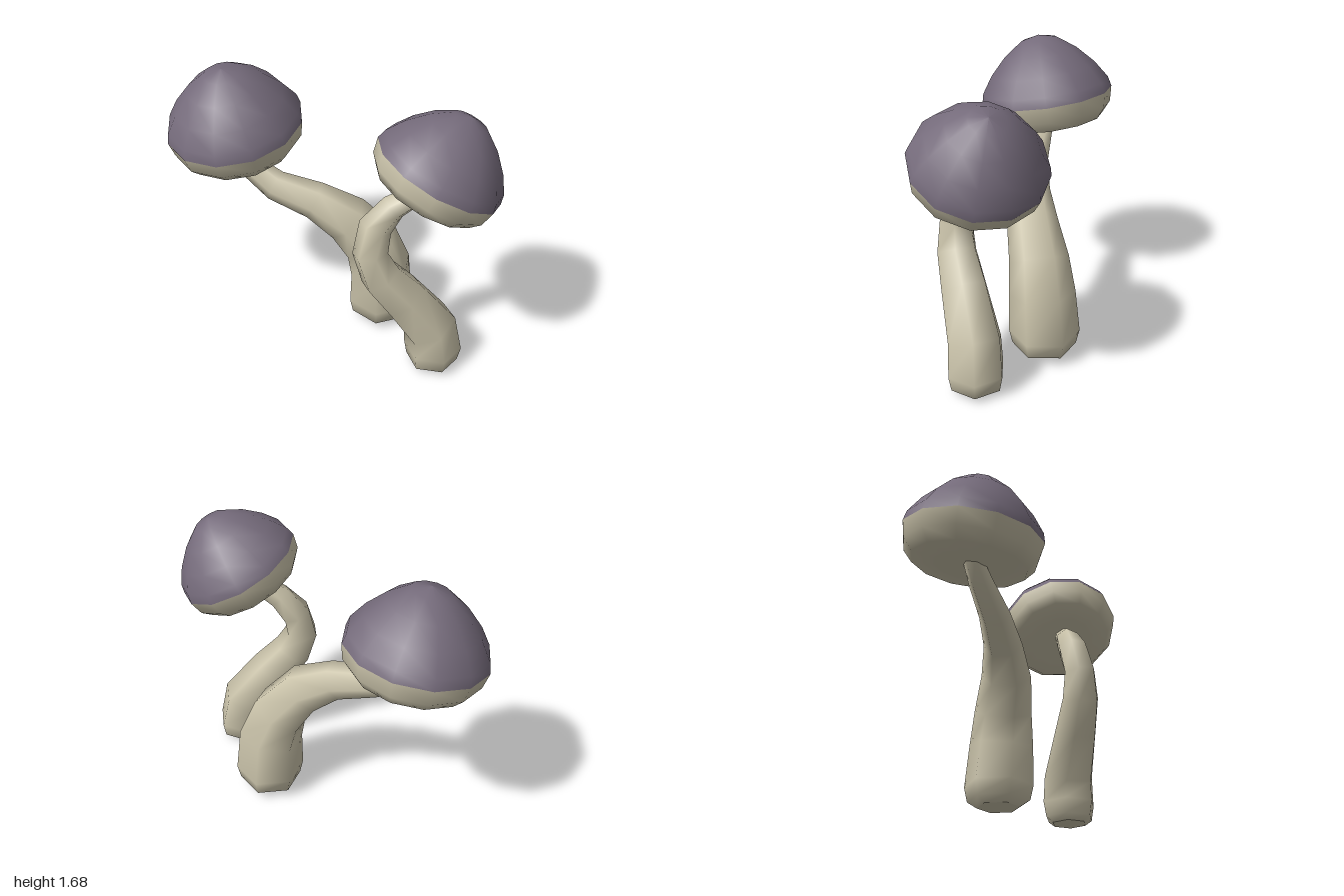
import * as THREE from 'three';

const capPurple = new THREE.MeshStandardMaterial({ color: 0x756b7b });
capPurple.name = 'capPurple';
const stemCream = new THREE.MeshStandardMaterial({ color: 0xcbc4ab });
stemCream.name = 'stemCream';

const SIDES = 6;

// Six-sided smooth stem through rings of [x, y, z, radius], closed at both ends
function stemGeometry(rings, phase) {
  const centres = rings.map(([x, y, z]) => new THREE.Vector3(x, y, z));
  const pos = [], idx = [];
  rings.forEach(([, , , r], i) => {
    const t = centres[Math.min(i + 1, rings.length - 1)].clone()
      .sub(centres[Math.max(i - 1, 0)]).normalize();
    if (i < 3) t.set(0, 1, 0); // upright foot
    const u = new THREE.Vector3(0, 0, 1).addScaledVector(t, -t.z).normalize();
    const v = new THREE.Vector3().crossVectors(t, u);
    for (let k = 0; k < SIDES; k++) {
      const a = phase + (k / SIDES) * Math.PI * 2;
      const p = centres[i].clone().addScaledVector(u, r * Math.cos(a)).addScaledVector(v, r * Math.sin(a));
      pos.push(p.x, p.y, p.z);
    }
  });
  for (let i = 0; i < rings.length - 1; i++) {
    for (let k = 0; k < SIDES; k++) {
      const a = i * SIDES + k, b = i * SIDES + (k + 1) % SIDES;
      idx.push(a, b, b + SIDES, a, b + SIDES, a + SIDES);
    }
  }
  // flat end faces with their own vertices
  for (const [ring, down] of [[0, true], [rings.length - 1, false]]) {
    const start = pos.length / 3;
    pos.push(...pos.slice(ring * SIDES * 3, (ring + 1) * SIDES * 3));
    for (let k = 1; k < SIDES - 1; k++) {
      if (down) idx.push(start, start + k + 1, start + k);
      else idx.push(start, start + k, start + k + 1);
    }
  }
  const g = new THREE.BufferGeometry();
  g.setAttribute('position', new THREE.Float32BufferAttribute(pos, 3));
  g.setIndex(idx);
  g.computeVertexNormals();
  return g;
}

// Cap profiles: origin at the centre of the colour line
const underside = [[0, -0.165], [0.2, -0.168], [0.335, -0.16], [0.39, -0.095], [0.41, 0]];
const crown = [[0.41, 0], [0.395, 0.06], [0.325, 0.165], [0.225, 0.27], [0.11, 0.352], [0, 0.378]];
const lathe = (pts) => new THREE.LatheGeometry(pts.map(([r, y]) => new THREE.Vector2(r, y)), 12);

function addMesh(parent, name, geometry, material) {
  const m = new THREE.Mesh(geometry, material);
  m.name = name;
  parent.add(m);
}

function mushroom(name, { rings, phase, centre, up, size }) {
  const g = new THREE.Group();
  g.name = name;
  addMesh(g, 'stem', stemGeometry(rings, phase), stemCream);

  const cap = new THREE.Group();
  cap.name = 'cap';
  addMesh(cap, 'capUnderside', lathe(underside), stemCream);
  addMesh(cap, 'capTop', lathe(crown), capPurple);
  cap.position.set(...centre);
  cap.scale.setScalar(size);
  cap.quaternion.setFromUnitVectors(new THREE.Vector3(0, 1, 0), new THREE.Vector3(...up).normalize());
  g.add(cap);
  return g;
}

export function createModel() {
  const model = new THREE.Group();
  model.name = 'mushrooms';

  // Mushroom leaning far to the right
  model.add(mushroom('rightMushroom', {
    phase: 0,
    rings: [
      [0.315, 0.02, -0.155, 0.13], [0.32, 0.06, -0.155, 0.19], [0.32, 0.15, -0.155, 0.21],
      [0.31, 0.4, -0.14, 0.195], [0.25, 0.59, -0.12, 0.175], [0.11, 0.77, -0.08, 0.15],
      [-0.09, 0.885, -0.07, 0.115], [-0.335, 0.955, -0.08, 0.092], [-0.53, 1.07, -0.13, 0.07],
      [-0.62, 1.18, -0.165, 0.055],
    ],
    centre: [-0.59, 1.31, -0.165], up: [-0.12, 1, 0.15], size: 1,
  }));

  // Curled mushroom on the left, in front
  model.add(mushroom('leftMushroom', {
    phase: Math.PI / 6,
    rings: [
      [0.69, 0.005, 0.23, 0.11], [0.695, 0.04, 0.23, 0.155], [0.695, 0.13, 0.23, 0.172],
      [0.665, 0.3, 0.235, 0.165], [0.5, 0.545, 0.3, 0.142], [0.375, 0.71, 0.345, 0.122],
      [0.312, 0.865, 0.35, 0.102], [0.33, 1.02, 0.31, 0.095], [0.42, 1.14, 0.27, 0.078],
      [0.56, 1.23, 0.235, 0.06],
    ],
    centre: [0.65, 1.355, 0.195], up: [0.48, 1, -0.2], size: 0.92,
  }));
  return model;
}
